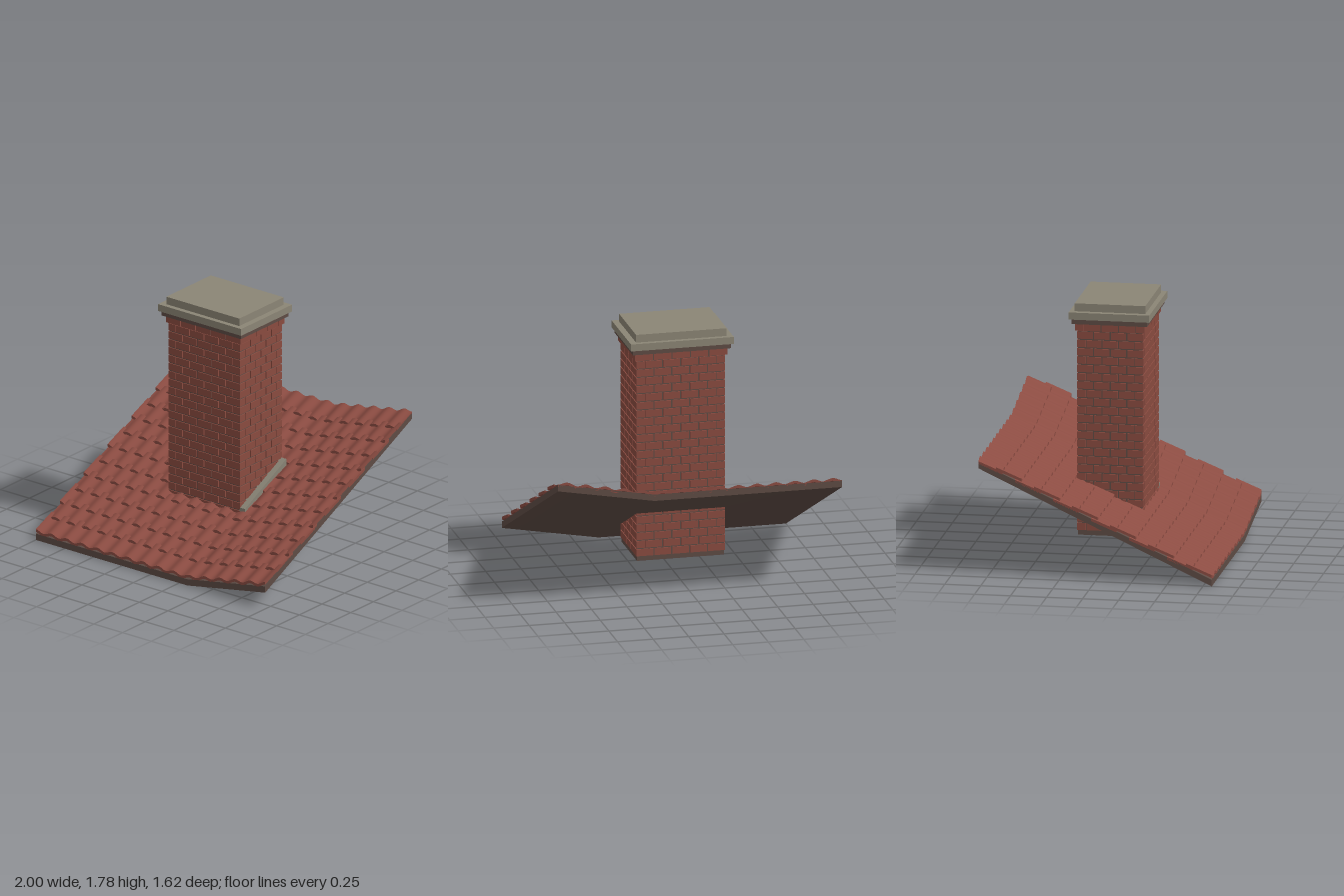
import * as THREE from 'three';
import { mergeGeometries, toCreasedNormals } from 'three/addons/utils/BufferGeometryUtils.js';

const mat = (name, color) => {
  const m = new THREE.MeshStandardMaterial({ color });
  m.name = name;
  return m;
};

const HALF_Z = 0.81, SLOPE = 0.472, KINK_X = 0.32, KINK_SLOPE = 0.1765;
// height of the roof underside; the roof lifts to the side past the kink
const roofY = (x, z) => (HALF_Z - z) * SLOPE + Math.max(0, x - KINK_X) * KINK_SLOPE;

// Sweep a four-cornered section along x; section(x) gives [y, z] for
// front-bottom, front-top, back-top, back-bottom.
function sweep(xs, section) {
  const pos = [];
  const quad = (a, b, c, d) => [a, b, c, a, c, d].forEach((p) => pos.push(...p));
  const rings = xs.map((x) => section(x).map(([y, z]) => [x, y, z]));
  for (let i = 0; i < rings.length - 1; i++) {
    for (let j = 0; j < 4; j++) {
      const k = (j + 1) % 4;
      quad(rings[i][j], rings[i + 1][j], rings[i + 1][k], rings[i][k]);
    }
  }
  const s = rings[0], e = rings[rings.length - 1];
  quad(s[0], s[1], s[2], s[3]);
  quad(e[0], e[3], e[2], e[1]);
  const g = new THREE.BufferGeometry();
  g.setAttribute('position', new THREE.Float32BufferAttribute(pos, 3));
  return toCreasedNormals(g, 0.5);
}

// One brick course: front/back and side runs take turns to own the corners
function course(width, depth, y, height, odd) {
  const T = 0.06, GAP = 0.009, out = [];
  const run = (length, n, place) => {
    const pitch = length / n;
    for (let i = 0; i < n; i++) place(-length / 2 + pitch * (i + 0.5), pitch);
  };
  const first = (i, n) => (odd ? n - 1 : n) && i;
  const frontLen = odd ? width - 2 * T : width;
  const sideLen = odd ? depth : depth - 2 * T;
  for (const s of [-1, 1]) {
    run(frontLen, odd ? 4 : 5, (x, p) => {
      out.push(new THREE.BoxGeometry(p - (odd || Math.abs(x) < frontLen / 2 - p ? GAP : GAP / 2), height - GAP, T)
        .translate(odd || Math.abs(x) < frontLen / 2 - p ? x : x + Math.sign(x) * GAP / 4, y + height / 2, s * (depth - T) / 2));
    });
    run(sideLen, odd ? 4 : 3, (z, p) => {
      const end = odd && Math.abs(z) > sideLen / 2 - p;
      out.push(new THREE.BoxGeometry(T, height - GAP, p - (end ? GAP / 2 : GAP))
        .translate(s * (width - T) / 2, y + height / 2, end ? z + Math.sign(z) * GAP / 4 : z));
    });
  }
  return out;
}

export function createModel() {
  const model = new THREE.Group();
  model.name = 'roofWithChimney';
  const tileMat = mat('terracotta', 0x8c4c42);
  const brickMat = mat('brick red', 0x8a4b40);
  const woodMat = mat('brown', 0x5e4b44);
  const stoneMat = mat('cap stone', 0x8b8575);
  const leadMat = mat('flashing grey', 0x878274);

  const add = (parent, name, geo, material) => {
    const m = new THREE.Mesh(geo, material);
    m.name = name;
    parent.add(m);
    return m;
  };

  // Roof deck in two board layers
  const roof = new THREE.Group();
  roof.name = 'roof';
  model.add(roof);
  [['lowerBoard', 0, 0.025], ['upperBoard', 0.025, 0.046]].forEach(([name, lo, hi]) => {
    add(roof, name, sweep([-1, KINK_X, 1], (x) => [
      [roofY(x, HALF_Z) + lo, HALF_Z], [roofY(x, HALF_Z) + hi, HALF_Z],
      [roofY(x, -HALF_Z) + hi, -HALF_Z], [roofY(x, -HALF_Z) + lo, -HALF_Z],
    ]), woodMat);
  });

  // Overlapping rows of wavy tiles, every other row shifted by half a tile
  const ROWS = 12, PITCH = 0.132, LENGTH = 0.177, WAVE = 2 / 15, AMP = 0.01, THICK = 0.02;
  const xs = [KINK_X];
  for (let i = 0; i <= 150; i++) xs.push(-1 + i / 75);
  xs.sort((a, b) => a - b);
  const tileXs = xs.filter((x, i) => i === 0 || x - xs[i - 1] > 1e-5);
  for (let r = 0; r < ROWS; r++) {
    const z0 = HALF_Z - r * PITCH;
    const z1 = Math.max(-HALF_Z, z0 - LENGTH);
    add(roof, 'tileRow', sweep(tileXs, (x) => {
      const wave = AMP * Math.cos((2 * Math.PI * (x - 1)) / WAVE + r * Math.PI);
      const front = roofY(x, z0) + 0.07 + wave;
      const back = roofY(x, z1) + 0.06 + wave;
      return [[front - THICK, z0], [front, z0], [back, z1], [back - THICK, z1]];
    }), tileMat);
  }

  // Chimney stack
  const chimney = new THREE.Group();
  chimney.name = 'chimney';
  chimney.position.set(-0.002, 0, -0.014);
  model.add(chimney);
  const slab = (name, w, y0, y1, d, material) =>
    add(chimney, name, new THREE.BoxGeometry(w, y1 - y0, d).translate(0, (y0 + y1) / 2, 0), material);

  const W = 0.626, D = 0.46, BASE = 0.185, TOP = 1.59, COURSES = 24;
  slab('mortarCore', W - 0.014, 0.155, TOP + 0.01, D - 0.014, woodMat);
  const h = (TOP - BASE) / COURSES;
  const bricks = [];
  for (let i = 0; i < COURSES; i++) bricks.push(...course(W, D, BASE + i * h, h, i % 2 === 1));
  add(chimney, 'bricks', mergeGeometries(bricks), brickMat);

  // Corbelled top course and cap
  add(chimney, 'corbelBricks', mergeGeometries(course(0.65, 0.484, TOP, 0.056, false)), brickMat);
  slab('corbelMortar', 0.636, TOP + 0.005, 1.646, 0.47, woodMat);
  slab('capBed', 0.69, 1.645, 1.682, 0.524, woodMat);
  slab('capSlab', 0.724, 1.68, 1.73, 0.56, stoneMat);
  slab('capTop', 0.636, 1.73, 1.785, 0.49, stoneMat);

  // Sloping flashing strip beside the stack
  add(model, 'flashing', sweep([0.3, 0.354], () => [
    [roofY(0, 0.215) + 0.04, 0.215], [roofY(0, 0.215) + 0.1, 0.215],
    [roofY(0, -0.24) + 0.11, -0.24], [roofY(0, -0.24) + 0.04, -0.24],
  ]), leadMat);

  return model;
}
